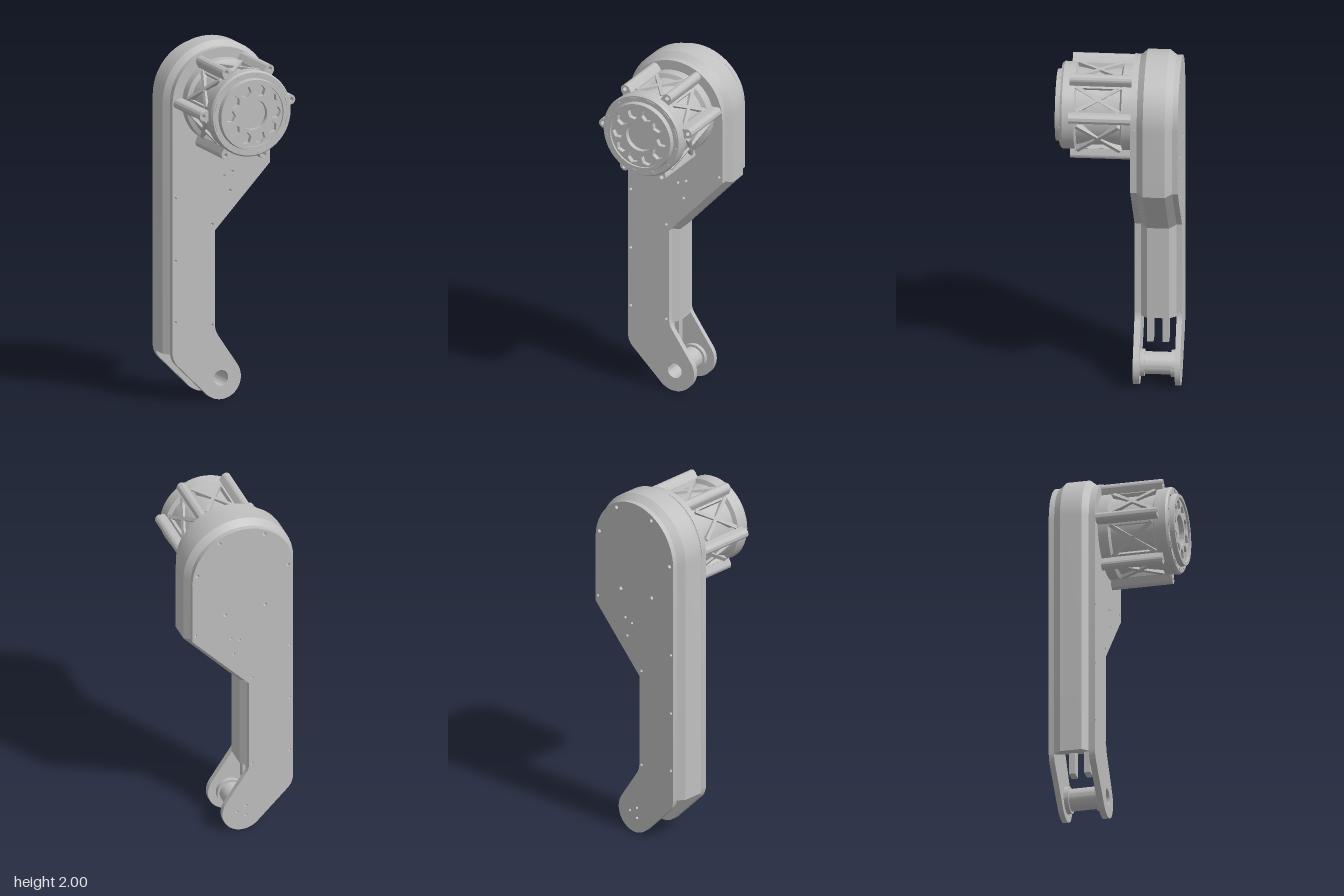
import * as THREE from 'three';
import { toCreasedNormals } from 'three/addons/utils/BufferGeometryUtils.js';

const TOP = 1.68; // height of the motor axis
const rad = THREE.MathUtils.degToRad;

export function createModel() {
  const model = new THREE.Group();
  const grey = new THREE.MeshStandardMaterial({ color: 0xbfbfbf });
  grey.name = 'machined grey';

  const add = (name, geometry, parent = model) => {
    const mesh = new THREE.Mesh(toCreasedNormals(geometry, 0.5), grey);
    mesh.name = name;
    parent.add(mesh);
    return mesh;
  };
  const slab = (shape, z0, z1, curveSegments = 16) =>
    new THREE.ExtrudeGeometry(shape, { depth: z1 - z0, bevelEnabled: false, curveSegments }).translate(0, 0, z0);
  const hole = (shape, x, y, r) => {
    const p = new THREE.Path();
    p.absarc(x, y, r, 0, Math.PI * 2, true);
    shape.holes.push(p);
  };
  const lathe = (pts) =>
    new THREE.LatheGeometry(pts.map(([r, z]) => new THREE.Vector2(r, z)), 64).rotateX(Math.PI / 2);

  // Side plates, with a rounded head and an offset foot
  const ribAngles = [10, 60, 119, 180, 240, 292];
  const plateShape = () => {
    const s = new THREE.Shape();
    s.moveTo(0.295, 1.3);
    s.lineTo(0.295, TOP);
    s.absarc(0.002, TOP, 0.292, 0, Math.PI, false);
    s.lineTo(-0.29, 0.275);
    s.quadraticCurveTo(-0.285, 0.235, -0.26, 0.21);
    s.absarc(0, 0.12, 0.12, rad(225), rad(395), false);
    s.lineTo(-0.02, 0.365);
    s.quadraticCurveTo(-0.035, 0.39, -0.035, 0.42);
    s.lineTo(-0.035, 0.95);
    s.closePath();
    const screws = [[0.275, 1.335], [0.02, 1.25], [0.07, 1.27], [0.055, 1.165], [-0.052, 0.985],
      [-0.273, 1.15], [-0.273, 0.8], [-0.273, 0.455], [-0.052, 0.42]];
    screws.forEach(([x, y]) => hole(s, x, y, 0.008));
    ribAngles.forEach((a) => hole(s, 0.004 + 0.266 * Math.cos(rad(a)), TOP + 0.266 * Math.sin(rad(a)), 0.011));
    return s;
  };
  const front = plateShape();
  hole(front, 0, 0.12, 0.043);
  add('frontPlate', slab(front, -0.115, -0.08, 32));
  const back = plateShape();
  [0, 120, 240].forEach((a) => hole(back, 0.035 * Math.cos(rad(a)), 0.12 + 0.035 * Math.sin(rad(a)), 0.008));
  add('backPlate', slab(back, -0.34, -0.31, 32));

  // Chamfered housing between the plates, lofted from four outlines
  const outline = (d) => {
    const pts = [[-0.035 + d, 0.39], [-0.035 + d, 0.95 - d * 0.4], [0.292 + d, 1.3 - d * 0.4]];
    for (let i = 0; i <= 32; i++) {
      const a = (Math.PI * i) / 32;
      pts.push([0.002 + (0.29 + d) * Math.cos(a), TOP + (0.29 + d) * Math.sin(a)]);
    }
    pts.push([-0.288 - d, 0.27]);
    return pts;
  };
  const rings = [[-0.31, 0], [-0.27, 0.03], [-0.15, 0.03], [-0.115, 0]];
  const pos = [], index = [];
  rings.forEach(([z, d]) => outline(d).forEach(([x, y]) => pos.push(x, y, z)));
  const n = pos.length / 3 / rings.length;
  for (let r = 0; r < rings.length - 1; r++) {
    for (let i = 0; i < n; i++) {
      const a = r * n + i, b = r * n + ((i + 1) % n);
      index.push(a, b, b + n, a, b + n, a + n);
    }
  }
  const loft = new THREE.BufferGeometry();
  loft.setAttribute('position', new THREE.Float32BufferAttribute(pos, 3));
  loft.setIndex(index);
  add('housing', loft);

  // Lugs under the housing and the spool in the foot
  for (const z of [-0.165, -0.25]) {
    add('housingLug', new THREE.BoxGeometry(0.07, 0.17, 0.035).translate(-0.09, 0.305, z));
  }
  add('footSpool', lathe([[0.043, -0.31], [0.075, -0.31], [0.075, -0.285], [0.062, -0.285], [0.062, -0.14],
    [0.075, -0.14], [0.075, -0.115], [0.043, -0.115], [0.043, -0.31]])).position.y = 0.12;

  // Motor: core, collars and stepped nose
  const motor = new THREE.Group();
  motor.name = 'motor';
  motor.position.set(0.004, TOP, 0);
  model.add(motor);
  add('motorBody', lathe([[0.237, -0.08], [0.237, -0.025], [0.213, -0.015], [0.213, 0.225], [0.237, 0.235],
    [0.24, 0.3], [0.232, 0.312], [0.2, 0.312], [0.196, 0.34], [0.178, 0.34], [0.178, 0.3], [0, 0.3]]), motor);

  // Perforated front ring
  const face = new THREE.Shape();
  face.absarc(0, 0, 0.18, 0, Math.PI * 2, false);
  hole(face, 0, 0, 0.085);
  for (let i = 0; i < 10; i++) {
    const a = (i * Math.PI) / 5;
    const cell = new THREE.Path();
    for (let k = 0; k < 6; k++) {
      const t = a - (k * Math.PI) / 3;
      const x = 0.136 * Math.cos(a) + 0.034 * Math.cos(t), y = 0.136 * Math.sin(a) + 0.034 * Math.sin(t);
      k ? cell.lineTo(x, y) : cell.moveTo(x, y);
    }
    cell.closePath();
    face.holes.push(cell);
  }
  add('honeycombRing', slab(face, 0.298, 0.328, 32), motor);

  // Small clips around the nose
  for (let i = 0; i < 12; i++) {
    const clip = add('noseClip', new THREE.BoxGeometry(0.012, 0.05, 0.008).translate(0.217, 0, 0.312), motor);
    clip.rotation.z = rad(15 + i * 30);
  }

  // Bolt ribs along the motor, each on a strip of the outer shell
  const rib = new THREE.Shape();
  rib.moveTo(0.2, -0.03);
  rib.lineTo(0.262, -0.027);
  rib.absarc(0.262, 0, 0.027, -Math.PI / 2, Math.PI / 2, false);
  rib.lineTo(0.2, 0.03);
  rib.closePath();
  hole(rib, 0.266, 0, 0.012);
  const strip = new THREE.Shape();
  strip.absarc(0, 0, 0.235, rad(-10), rad(10), false);
  strip.absarc(0, 0, 0.19, rad(10), rad(-10), true);
  strip.closePath();
  ribAngles.forEach((a, i) => {
    add('boltRib', slab(rib, -0.08, 0.262), motor).rotation.z = rad(a);
    add('shellStrip', slab(strip, -0.05, 0.24), motor).rotation.z = rad(a);

    // Crossed struts over the window to the next rib
    const next = i < 5 ? ribAngles[i + 1] : ribAngles[0] + 360;
    const half = 0.215 * Math.sin(rad((next - a) / 2 - 7));
    const brace = new THREE.Group();
    brace.name = 'windowBrace';
    brace.rotation.z = rad((a + next) / 2);
    motor.add(brace);
    for (const s of [-1, 1]) {
      const bar = new THREE.BoxGeometry(0.035, 0.02, Math.hypot(half * 2, 0.235));
      const mesh = add('strut', bar.translate(0.209, 0, 0), brace);
      mesh.position.z = 0.105;
      mesh.rotation.x = s * Math.atan2(half * 2, 0.235);
    }
  });
  return model;
}
